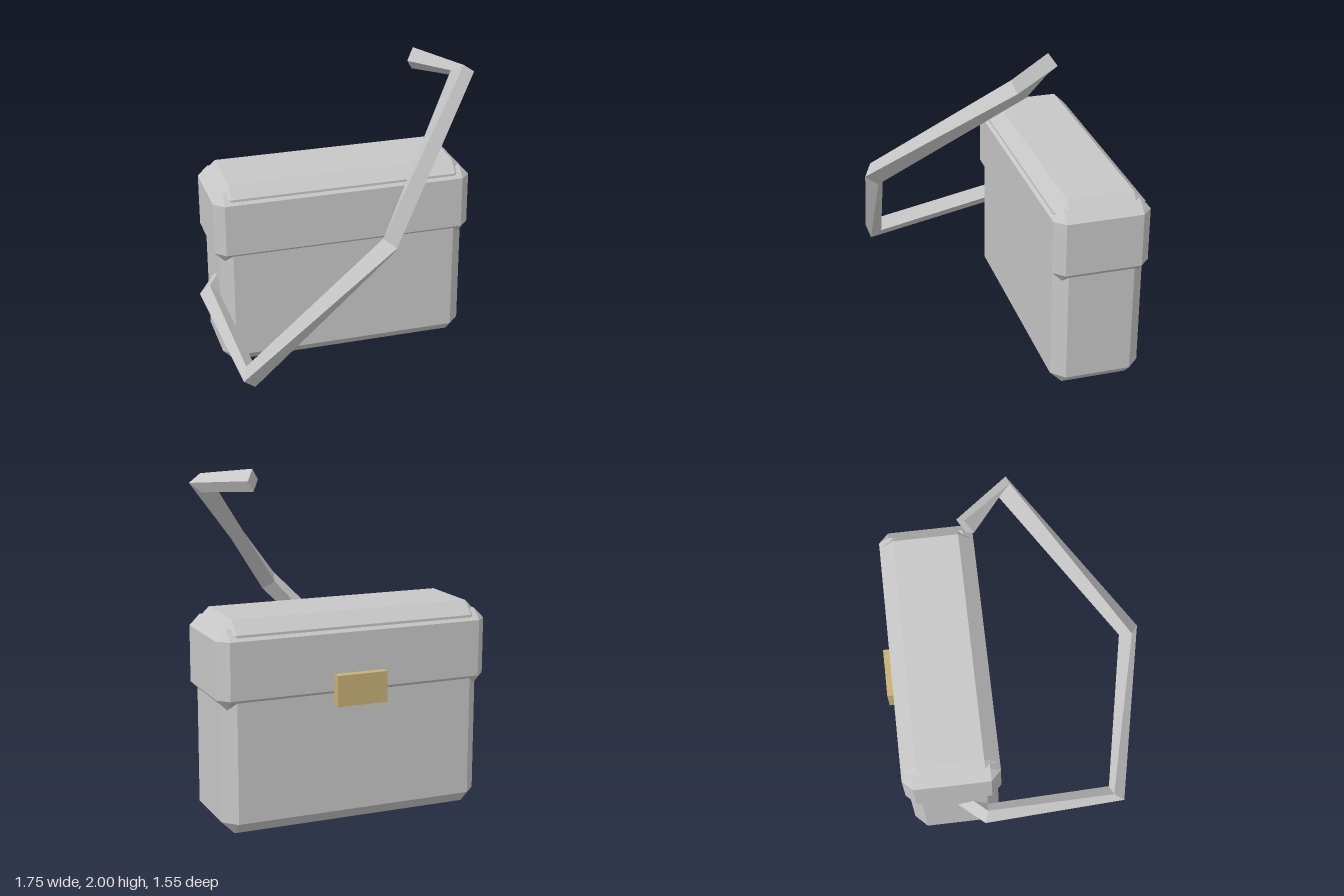
import * as THREE from 'three';
import { ConvexGeometry } from 'three/addons/geometries/ConvexGeometry.js';

const grey = new THREE.MeshStandardMaterial({ color: 0xc7c7c7 });
grey.name = 'light grey leather';
const brass = new THREE.MeshStandardMaterial({ color: 0xc7b074 });
brass.name = 'pale brass';

function part(name, geometry, material, position = [0, 0, 0]) {
  const mesh = new THREE.Mesh(geometry, material);
  mesh.name = name;
  mesh.position.set(...position);
  return mesh;
}

// Box with every edge chamfered by c
function chamferBox(w, h, d, c) {
  const points = [];
  for (const sx of [-1, 1]) for (const sy of [-1, 1]) for (const sz of [-1, 1]) {
    for (let flat = 0; flat < 3; flat++) {
      const inset = [0, 1, 2].map(axis => (axis === flat ? 0 : c));
      points.push(new THREE.Vector3(
        sx * (w / 2 - inset[0]), sy * (h / 2 - inset[1]), sz * (d / 2 - inset[2])));
    }
  }
  return new ConvexGeometry(points);
}

// Square bar with bends; each section gives three corners, the fourth completes the parallelogram
function bentBar(sections) {
  const rings = sections.map(([a, b, d]) =>
    [a, b, b.map((v, i) => v + d[i] - a[i]), d].map(p => new THREE.Vector3(...p)));
  const pos = [];
  const normals = [];
  // Each four-sided face is shaded as one flat facet, even where it twists slightly
  const quad = (a, b, c, d) => {
    const n = c.clone().sub(a).cross(d.clone().sub(b)).normalize();
    for (const p of [a, b, c, a, c, d]) {
      pos.push(p.x, p.y, p.z);
      normals.push(n.x, n.y, n.z);
    }
  };
  for (let s = 0; s < rings.length - 1; s++) {
    for (let i = 0; i < 4; i++) {
      const j = (i + 1) % 4;
      quad(rings[s][i], rings[s][j], rings[s + 1][j], rings[s + 1][i]);
    }
  }
  quad(...[...rings[0]].reverse());
  quad(...rings[rings.length - 1]);
  const geometry = new THREE.BufferGeometry();
  geometry.setAttribute('position', new THREE.Float32BufferAttribute(pos, 3));
  geometry.setAttribute('normal', new THREE.Float32BufferAttribute(normals, 3));
  return geometry;
}

export function createModel() {
  const group = new THREE.Group();
  group.name = 'satchel';

  // Case body, with the wider lid wrapped around its upper part
  group.add(part('caseBody', chamferBox(1.592, 1.23, 0.55, 0.075), grey, [0.047, 0.615, -0.437]));
  group.add(part('lid', chamferBox(1.655, 0.455, 0.584, 0.062), grey, [0.047, 0.958, -0.437]));

  // Clasp on the back seam
  group.add(part('clasp', new THREE.BoxGeometry(0.305, 0.18, 0.1), brass, [0.044, 0.8, -0.728]));

  // Stiff shoulder strap, from inside the case round to its free end
  const root = [[-0.875, 0.495, -0.265], [-0.815, 0.432, -0.265], [-0.815, 0.56, -0.24]];
  const buried = root.map(([x, y, z]) => [x + 0.2, y + 0.08, z - 0.25]);
  group.add(part('strap', bentBar([
    buried,
    root,
    [[-0.8, 0.37, 0.63], [-0.73, 0.312, 0.61], [-0.77, 0.43, 0.565]],
    [[0.067, 1.17, 0.772], [0.087, 1.12, 0.7], [0.0, 1.22, 0.727]],
    [[0.777, 1.905, 0.06], [0.722, 1.855, -0.008], [0.703, 1.957, 0.075]],
    [[0.525, 1.935, -0.248], [0.475, 1.868, -0.202], [0.482, 2.0, -0.205]],
  ]), grey));

  return group;
}
